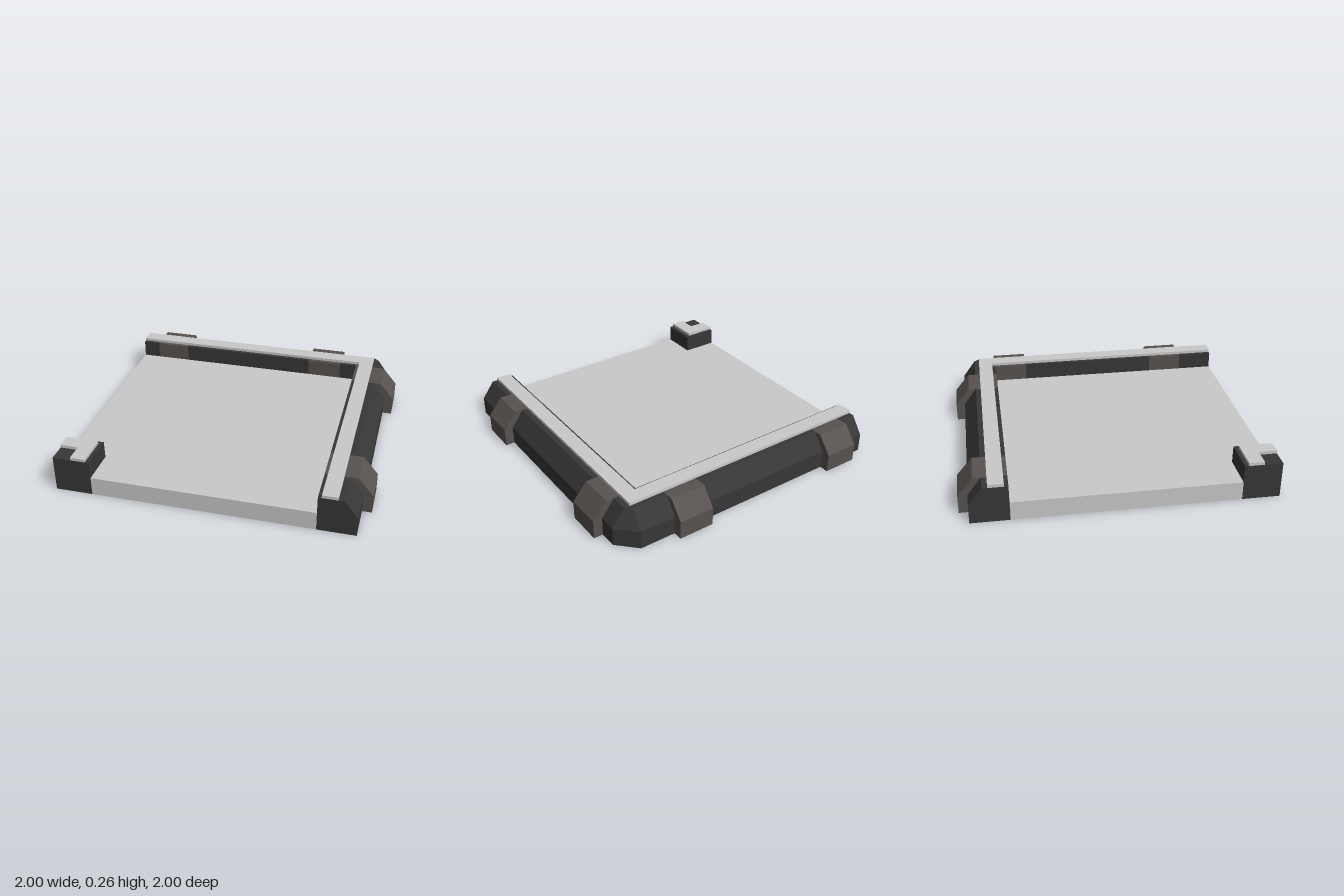
import * as THREE from 'three';

const material = (name, color) => {
  const m = new THREE.MeshStandardMaterial({ color, flatShading: true, side: THREE.DoubleSide });
  m.name = name;
  return m;
};

// Wall cross-sections as [distance from centre, height], open underneath
const INNER = 0.692, TOP = 0.24, MID = 0.125, OUTER = 0.938, EDGE = 0.852, JOIN = 0.7, CUT = 0.815;
const wallProfile = [[INNER, 0], [INNER, TOP], [EDGE, TOP], [OUTER, MID], [OUTER, 0]];
const clampProfile = [[INNER, 0], [INNER, TOP], [0.903, TOP], [1, MID], [1, 0]];

function fromTriangles(points) {
  const g = new THREE.BufferGeometry();
  g.setAttribute('position', new THREE.Float32BufferAttribute(points.flat(), 3));
  g.computeVertexNormals();
  return g;
}

// Straight shell running along z from a to b, with optional end caps
function shell(profile, a, b, capA, capB) {
  const t = [];
  const p = (i, z) => [profile[i][0], profile[i][1], z];
  for (let i = 0; i < profile.length - 1; i++) {
    t.push(p(i, a), p(i, b), p(i + 1, b), p(i, a), p(i + 1, b), p(i + 1, a));
    if (i > 0 && capA) t.push(p(0, a), p(i, a), p(i + 1, a));
    if (i > 0 && capB) t.push(p(0, b), p(i + 1, b), p(i, b));
  }
  return fromTriangles(t);
}

// Chamfered corner joining the two walls
function cornerGeometry() {
  const low = [[JOIN, -OUTER], [CUT, -OUTER], [OUTER, -CUT], [OUTER, -JOIN]];
  const high = [[JOIN, -EDGE], [CUT, -EDGE], [EDGE, -CUT], [EDGE, -JOIN]];
  const rings = [[low, 0], [low, MID], [high, TOP]];
  const p = (r, i) => [rings[r][0][i][0], rings[r][1], rings[r][0][i][1]];
  const t = [];
  for (let i = 0; i < 3; i++) {
    for (let r = 0; r < 2; r++) {
      t.push(p(r, i), p(r + 1, i), p(r + 1, i + 1), p(r, i), p(r + 1, i + 1), p(r, i + 1));
    }
    t.push([JOIN, TOP, -JOIN], p(2, i + 1), p(2, i));
  }
  return fromTriangles(t);
}

// Flat slab from an [x, z] outline
function slab(outline, y, height) {
  const shape = new THREE.Shape(outline.map(([x, z]) => new THREE.Vector2(x, -z)));
  const g = new THREE.ExtrudeGeometry(shape, { depth: height, bevelEnabled: false });
  g.rotateX(-Math.PI / 2);
  g.translate(0, y, 0);
  return g;
}

export function createModel() {
  const light = material('light grey panel', 0xcacaca);
  const dark = material('dark grey wall', 0x373737);
  const brown = material('brown grey clamp', 0x585250);
  const model = new THREE.Group();
  model.name = 'cornerFloorTile';

  const add = (name, geometry, mat, parent = model) => {
    const mesh = new THREE.Mesh(geometry, mat);
    mesh.name = name;
    parent.add(mesh);
    return mesh;
  };

  // Floor, notched around the corner post
  add('floor', slab([[-1, -0.69], [0.69, -0.69], [0.69, 1], [-0.755, 1], [-0.755, 0.755], [-1, 0.755]], 0, MID), light);

  // Walls: dark stretches alternating with wider clamps
  const buildWall = (name, breaks, capStart, capEnd) => {
    const wall = new THREE.Group();
    wall.name = name;
    for (let i = 0; i < breaks.length - 1; i++) {
      const [kind, a] = breaks[i];
      const b = breaks[i + 1][1];
      if (kind === 'clamp') add('clamp', shell(clampProfile, a, b, true, true), brown, wall);
      else add('wallSection', shell(wallProfile, a, b, capStart && i === 0, capEnd && i === breaks.length - 2), dark, wall);
    }
    model.add(wall);
    return wall;
  };
  buildWall('leftWall', [['clamp', -JOIN], ['wall', -0.46], ['clamp', 0.513], ['wall', 0.755], ['end', 1]], false, true);
  const back = buildWall('backWall',
    [['wall', -1], ['clamp', -0.88], ['wall', -0.64], ['clamp', 0.33], ['wall', 0.573], ['end', JOIN]], true, false);
  back.rotation.y = Math.PI / 2;
  add('wallCorner', cornerGeometry(), dark);

  // Underside of the back wall and its clamps
  add('backWallBase', slab([[-1, -OUTER], [0.69, -OUTER], [0.69, -0.691], [-1, -0.691]], 0, 0.005), dark);
  for (const x of [-0.88, 0.33]) {
    add('clampBase', slab([[x, -1], [x + 0.24, -1], [x + 0.24, -OUTER], [x, -OUTER]], 0, 0.005), brown);
  }

  // Post at the open corner
  add('cornerPost', slab([[-1, 0.755], [-0.755, 0.755], [-0.755, 1], [-1, 1]], 0, TOP), dark);

  // Raised trim on the walls and post
  add('wallTrim', slab([[-1, -0.817], [0.815, -0.817], [0.815, 1], [0.715, 1], [0.715, -0.718], [-1, -0.718]], TOP, 0.02), light);
  add('postTrim', slab([[-1, 0.78], [-0.783, 0.78], [-0.783, 1], [-0.88, 1], [-0.88, 0.88], [-1, 0.88]], TOP, 0.02), light);

  return model;
}
